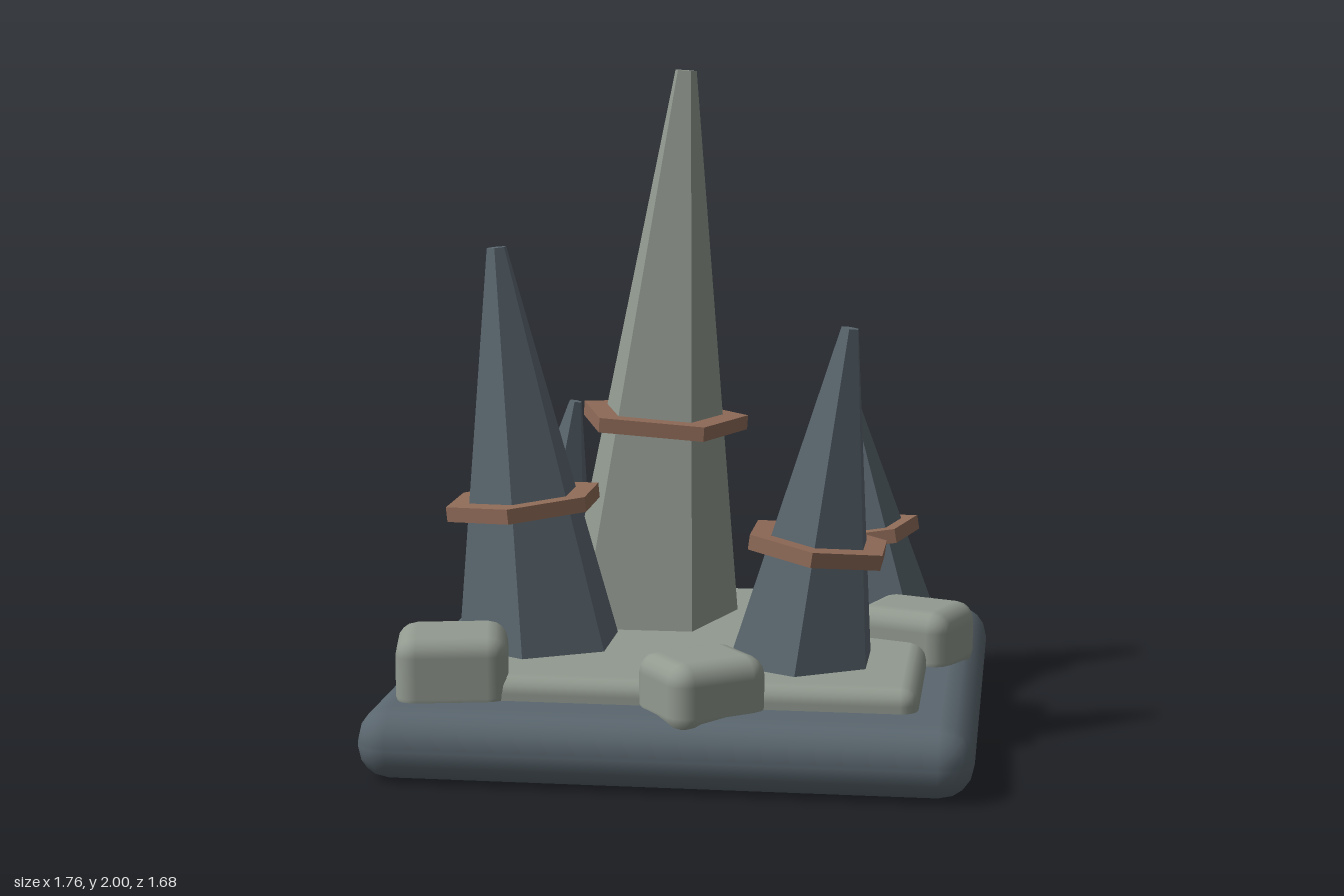
import * as THREE from 'three';
import { RoundedBoxGeometry } from 'three/addons/geometries/RoundedBoxGeometry.js';

const dark = new THREE.MeshStandardMaterial({ color: 0x5a666e });
const pale = new THREE.MeshStandardMaterial({ color: 0x929a90 });
const darkFlat = new THREE.MeshStandardMaterial({ color: 0x5a666e, flatShading: true });
const paleFlat = new THREE.MeshStandardMaterial({ color: 0x929a90, flatShading: true });
const bronze = new THREE.MeshStandardMaterial({ color: 0x8f6b58, flatShading: true });

const GROUND = 0.21; // top of the base

function block(name, size, pos, radius, material, turn = 0) {
  const mesh = new THREE.Mesh(new RoundedBoxGeometry(...size, 2, radius), material);
  mesh.name = name;
  mesh.position.set(...pos);
  mesh.rotation.y = turn;
  return mesh;
}

// Square-sectioned band with n straight sides
function bandGeometry(inner, outer, height, sides) {
  const h = height / 2;
  const profile = [[inner, -h], [outer, -h], [outer, h], [inner, h], [inner, -h]]
    .map(([x, y]) => new THREE.Vector2(x, y));
  return new THREE.LatheGeometry(profile, sides);
}

// Tapered spire leaning sideways from its foot to its tip, with a band around it
function spire({ name, foot, tipX, tipY, radius, sides, material }) {
  const group = new THREE.Group();
  group.name = name;
  const lean = tipX - foot[0], rise = tipY - GROUND;
  const length = Math.hypot(lean, rise);
  const turn = Math.PI; // one corner points to the back

  const body = new THREE.Mesh(
    new THREE.CylinderGeometry(radius * 0.115, radius, length, sides), material);
  body.name = name + 'Body';
  body.position.y = length / 2;
  body.rotation.y = turn;

  const band = new THREE.Mesh(
    bandGeometry(radius * 0.64, radius * 0.915, 0.045, sides), bronze);
  band.name = name + 'Band';
  band.position.y = length * 0.39;
  band.rotation.y = turn;

  group.add(body, band);
  group.position.set(foot[0], GROUND, foot[1]);
  group.rotation.z = -Math.atan2(lean, rise);
  return group;
}

export function createModel() {
  const model = new THREE.Group();
  model.name = 'spireGarden';

  // Base and raised slab
  model.add(
    block('base', [1.765, 0.21, 1.685], [0, 0.105, 0], 0.1, dark),
    block('slab', [1.435, 0.18, 1.31], [0, 0.19, -0.005], 0.05, pale));

  // Spires
  const spires = [
    { name: 'tallSpire', foot: [-0.186, -0.212], tipX: -0.06, tipY: 2, radius: 0.303, sides: 5, material: paleFlat },
    { name: 'frontRightSpire', foot: [-0.456, 0.18], tipX: -0.58, tipY: 1.48, radius: 0.268, sides: 6, material: darkFlat },
    { name: 'frontLeftSpire', foot: [0.347, 0.307], tipX: 0.492, tipY: 1.268, radius: 0.246, sides: 6, material: darkFlat },
    { name: 'backLeftSpire', foot: [0.55, -0.4], tipX: 0.423, tipY: 1.02, radius: 0.19, sides: 5, material: darkFlat },
    { name: 'backRightSpire', foot: [-0.575, -0.478], tipX: -0.46, tipY: 0.92, radius: 0.186, sides: 6, material: darkFlat },
  ];
  for (const s of spires) model.add(spire(s));

  // Boulders
  model.add(
    block('frontRightBoulder', [0.325, 0.24, 0.28], [-0.645, 0.28, 0.557], 0.06, pale, 0.2),
    block('frontBoulder', [0.31, 0.21, 0.27], [0.1, 0.262, 0.638], 0.06, pale, 0.64),
    block('leftBoulder', [0.315, 0.21, 0.28], [0.673, 0.267, -0.07], 0.06, pale, -0.36));

  return model;
}
